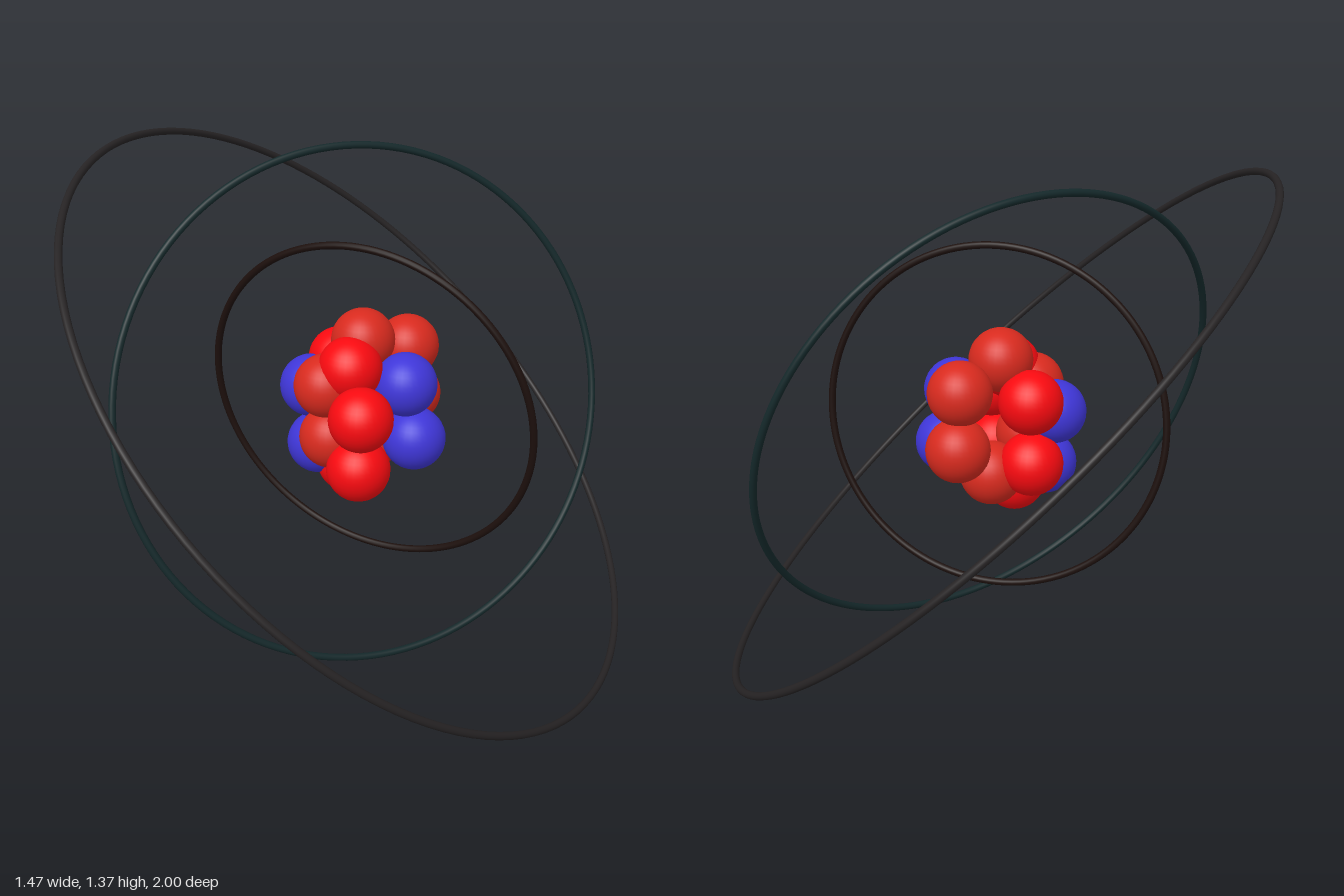
import * as THREE from 'three';

const CENTER_Y = 0.69;
const BALL_RADIUS = 0.088;
const TUBE_RADIUS = 0.01;

const material = (color) => new THREE.MeshStandardMaterial({ color });

// Orbit rings: radius and plane normal
const ORBITS = [
  { name: 'innerOrbit', radius: 0.484, normal: [-0.11, -0.115, 1], color: 0x1c0f0c },
  { name: 'middleOrbit', radius: 0.713, normal: [0.643, 0.322, 0.695], color: 0x14282a },
  { name: 'outerOrbit', radius: 0.991, normal: [0.684, 0.734, -0.048], color: 0x262324 },
];

// Nucleus balls: positions grouped by kind
const BALLS = [
  {
    name: 'brightRedBall', color: 0xf80a10,
    at: [
      [-0.03, 0.827, 0.065], [0.035, 0.728, 0.16], [0.02, 0.565, 0.14],
      [-0.058, 0.511, 0.01], [-0.118, 0.782, -0.087], [-0.12, 0.6, -0.08],
    ],
  },
  {
    name: 'darkRedBall', color: 0xd82a1e,
    at: [
      [-0.025, 0.876, -0.025], [0.062, 0.82, -0.152], [-0.095, 0.773, 0.08],
      [-0.08, 0.623, 0.085], [0.064, 0.665, -0.173], [-0.008, 0.562, -0.075],
    ],
  },
  {
    name: 'blueBall', color: 0x3f36d8,
    at: [
      [0.106, 0.773, 0], [0.133, 0.613, 0],
      [-0.17, 0.727, 0], [-0.143, 0.564, 0.022],
    ],
  },
];

function makeOrbit({ name, radius, normal, color }) {
  const ring = new THREE.Mesh(new THREE.TorusGeometry(radius, TUBE_RADIUS, 12, 128), material(color));
  ring.name = name;
  ring.position.y = CENTER_Y;
  // Turn the ring's axis onto its plane normal
  ring.quaternion.setFromUnitVectors(
    new THREE.Vector3(0, 0, 1),
    new THREE.Vector3(...normal).normalize(),
  );
  return ring;
}

function makeNucleus() {
  const nucleus = new THREE.Group();
  nucleus.name = 'nucleus';
  const sphere = new THREE.SphereGeometry(BALL_RADIUS, 32, 20);
  for (const { name, color, at } of BALLS) {
    const mat = material(color);
    at.forEach((p, i) => {
      const ball = new THREE.Mesh(sphere, mat);
      ball.name = `${name}${i + 1}`;
      ball.position.set(...p);
      nucleus.add(ball);
    });
  }
  return nucleus;
}

export function createModel() {
  const model = new THREE.Group();
  model.name = 'atom';
  model.add(makeNucleus(), ...ORBITS.map(makeOrbit));
  return model;
}
